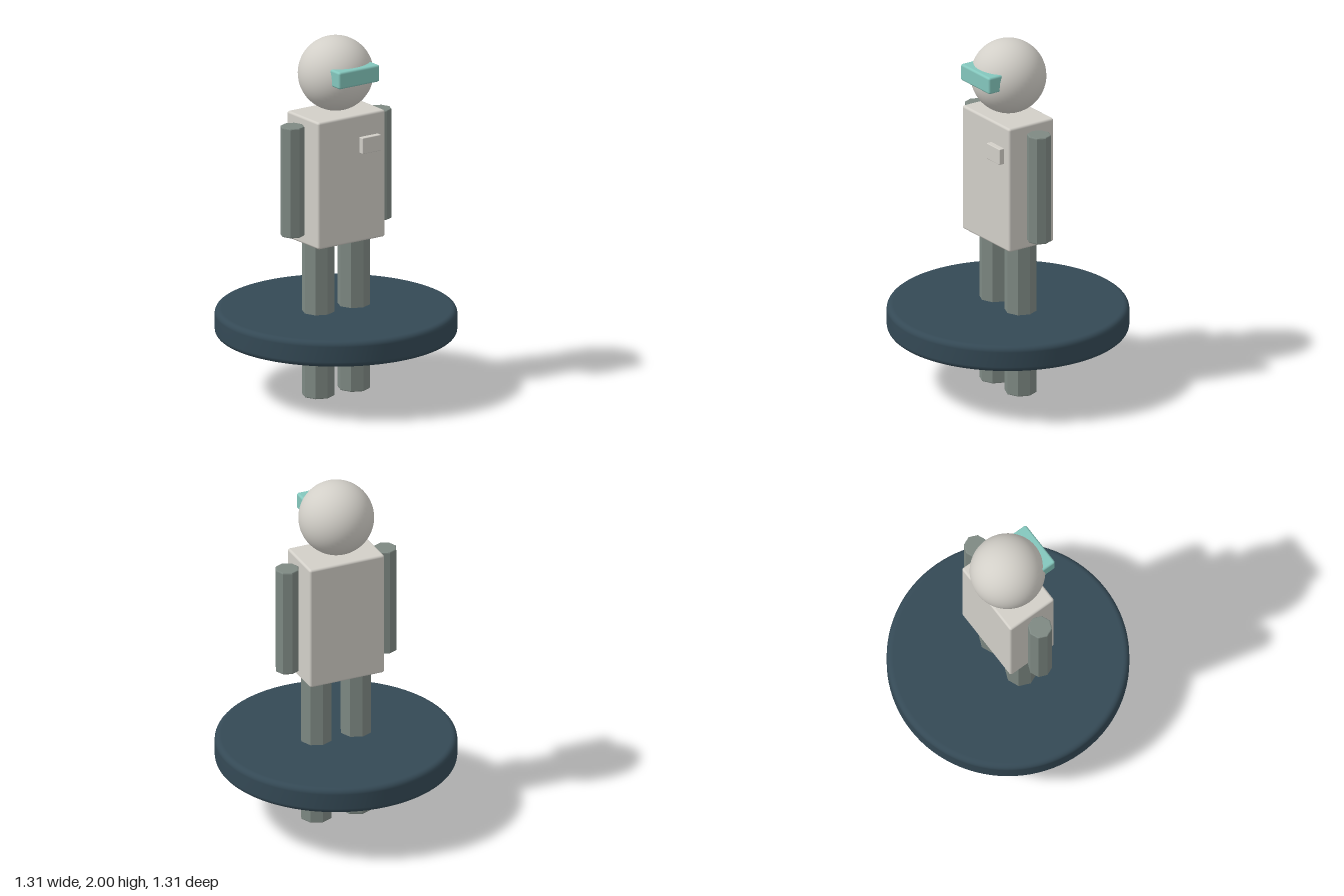
import * as THREE from 'three';
import { RoundedBoxGeometry } from 'three/addons/geometries/RoundedBoxGeometry.js';

const mat = (name, color, flatShading = false) => {
  const m = new THREE.MeshStandardMaterial({ color, flatShading });
  m.name = name;
  return m;
};

// Closed turned solid with rounded rims, from y0 to y1
function roundedDrum(radius, y0, y1, bevel, sides, steps) {
  const pts = [new THREE.Vector2(0, y0), new THREE.Vector2(radius - bevel - 0.004, y0)];
  for (const [cy, start] of [[y0 + bevel, -Math.PI / 2], [y1 - bevel, 0]]) {
    for (let i = 0; i <= steps; i++) {
      const a = start + (i / steps) * Math.PI / 2;
      pts.push(new THREE.Vector2(radius - bevel + Math.cos(a) * bevel, cy + Math.sin(a) * bevel));
    }
  }
  pts.push(new THREE.Vector2(radius - bevel - 0.004, y1), new THREE.Vector2(0, y1));
  return new THREE.LatheGeometry(pts, sides);
}

export function createModel() {
  const model = new THREE.Group();
  const shell = mat('pale grey shell', 0xd2cfc8);
  const limb = mat('grey green limb', 0x7e8983, true);
  const ring = mat('dark slate blue', 0x344955);
  const glass = mat('aqua visor', 0x84c7bd);

  const add = (name, geometry, material, x = 0, y = 0, z = 0) => {
    const mesh = new THREE.Mesh(geometry, material);
    mesh.name = name;
    mesh.position.set(x, y, z);
    model.add(mesh);
  };
  // Rounded box given by its lower and upper corners
  const addBox = (name, material, lo, hi, bevel) => {
    const s = hi.map((v, i) => v - lo[i]);
    const c = hi.map((v, i) => (v + lo[i]) / 2);
    add(name, new RoundedBoxGeometry(...s, 3, bevel), material, ...c);
  };

  // Head and visor
  add('head', new THREE.SphereGeometry(0.205, 48, 32), shell, 0, 1.795, -0.003);
  addBox('visor', glass, [-0.135, 1.775, 0.09], [0.135, 1.87, 0.22], 0.012);

  // Body and chest box
  addBox('torso', shell, [-0.222, 0.87, -0.148], [0.222, 1.585, 0.148], 0.013);
  addBox('chestBox', shell, [0.05, 1.37, 0.13], [0.173, 1.46, 0.178], 0.004);

  // Eight-sided arms and legs
  for (const [side, s] of [['left', 1], ['right', -1]]) {
    add(side + 'Arm', roundedDrum(0.066, 0.93, 1.547, 0.006, 8, 2), limb, s * 0.29);
    add(side + 'Leg', roundedDrum(0.088, 0, 0.89, 0.006, 8, 2), limb, s * 0.118);
  }

  // Round disc about the legs
  add('disc', roundedDrum(0.655, 0.328, 0.474, 0.03, 96, 6), ring);

  return model;
}
